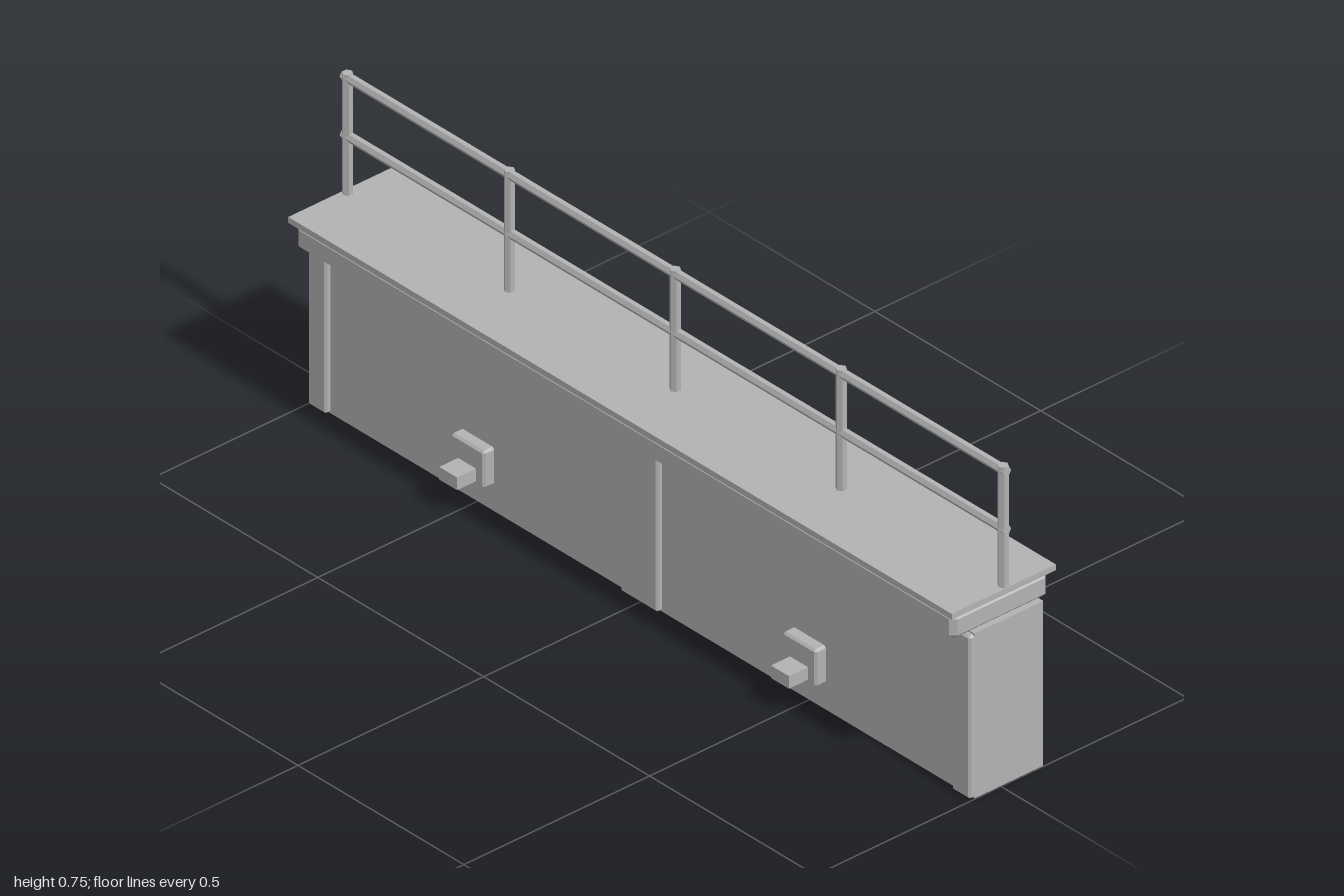
import * as THREE from 'three';
import { ConvexGeometry } from 'three/addons/geometries/ConvexGeometry.js';

export function createModel() {
  const model = new THREE.Group();
  model.name = 'parapetWall';
  const concrete = new THREE.MeshStandardMaterial({ color: 0xb2b2b2 });
  concrete.name = 'concrete grey';

  const add = (name, geometry) => {
    const mesh = new THREE.Mesh(geometry, concrete);
    mesh.name = name;
    model.add(mesh);
    return mesh;
  };

  // Plain box given by its extents
  const block = (name, x0, x1, y0, y1, z0, z1) => {
    const mesh = add(name, new THREE.BoxGeometry(x1 - x0, y1 - y0, z1 - z0));
    mesh.position.set((x0 + x1) / 2, (y0 + y1) / 2, (z0 + z1) / 2);
  };

  // Box with every edge chamfered by b
  const chamferedBlock = (name, x0, x1, y0, y1, z0, z1, b) => {
    const half = [(x1 - x0) / 2, (y1 - y0) / 2, (z1 - z0) / 2];
    const points = [];
    for (const sx of [-1, 1]) for (const sy of [-1, 1]) for (const sz of [-1, 1]) {
      for (let face = 0; face < 3; face++) {
        const [x, y, z] = half.map((h, axis) => (axis === face ? h : h - b));
        points.push(new THREE.Vector3(sx * x, sy * y, sz * z));
      }
    }
    const mesh = add(name, new ConvexGeometry(points));
    mesh.position.set((x0 + x1) / 2, (y0 + y1) / 2, (z0 + z1) / 2);
  };

  // Wall, cornice and walkway slab
  block('wall', -0.998, 0.998, 0, 0.392, -0.115, 0.07);
  chamferedBlock('cornice', -0.993, 0.993, 0.39, 0.452, -0.137, 0.123, 0.012);
  block('slab', -1, 1, 0.452, 0.466, -0.147, 0.133);

  // Pilasters on the front face
  for (const [x0, x1] of [[-0.998, -0.943], [-0.056, 0.056], [0.943, 0.998]]) {
    chamferedBlock('pilaster', x0, x1, 0.001, 0.388, 0.057, 0.083, 0.005);
  }

  // Drain outlets: backing plate and projecting spout
  for (const x of [-0.5, 0.5]) {
    chamferedBlock('drainPlate', x - 0.05, x + 0.05, 0.062, 0.151, 0.06, 0.098, 0.005);
    block('drainSpout', x - 0.027, x + 0.027, 0.072, 0.102, 0.07, 0.149);
  }

  // Hexagonal railing
  const railZ = -0.016;
  const hexBar = (radius, length) =>
    new THREE.CylinderGeometry(radius, radius, length, 6).toNonIndexed();
  const flat = (geometry) => {
    geometry.computeVertexNormals();
    return geometry;
  };
  for (const x of [-0.988, -0.5, 0, 0.5, 0.988]) {
    add('railPost', flat(hexBar(0.012, 0.288))).position.set(x, 0.608, railZ);
  }
  for (const y of [0.602, 0.741]) {
    const rail = add('handrail', flat(hexBar(0.011, 2)));
    rail.rotation.z = Math.PI / 2;
    rail.position.set(0, y, railZ);
  }

  return model;
}
